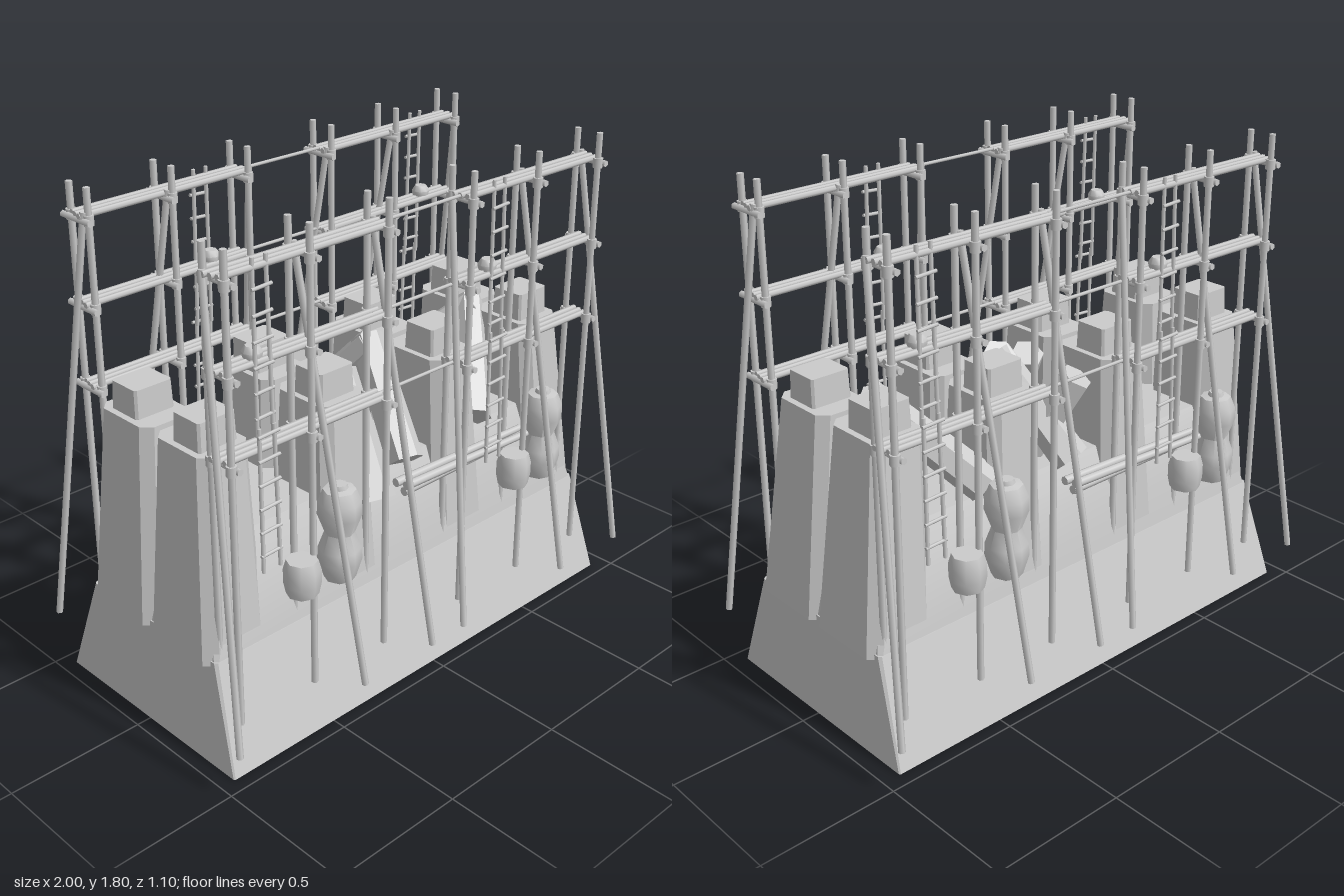
import * as THREE from 'three';
import { toCreasedNormals } from 'three/addons/utils/BufferGeometryUtils.js';

const mat = new THREE.MeshStandardMaterial({ color: 0xcccccc });

function add(parent, name, geo, x = 0, y = 0, z = 0) {
  const m = new THREE.Mesh(geo, mat);
  m.name = name;
  m.position.set(x, y, z);
  parent.add(m);
  return m;
}

// Straight pole or prism between two points
function pole(parent, name, a, b, r, sides = 6, r2 = r) {
  const p = new THREE.Vector3(...a), q = new THREE.Vector3(...b);
  const d = q.clone().sub(p);
  const geo = new THREE.CylinderGeometry(r2, r, d.length(), sides);
  const m = add(parent, name, geo);
  m.position.copy(p).add(q).multiplyScalar(0.5);
  m.quaternion.setFromUnitVectors(new THREE.Vector3(0, 1, 0), d.normalize());
  return m;
}

// Stack of chamfered rectangles: each level is [y, centreX, centreZ, halfX, halfZ, chamfer]
function loft(levels) {
  const pos = [], idx = [];
  for (const [y, cx, cz, hx, hz, c] of levels) {
    const ring = [[hx, hz - c], [hx - c, hz], [c - hx, hz], [-hx, hz - c],
      [-hx, c - hz], [c - hx, -hz], [hx - c, -hz], [hx, c - hz]];
    for (const [x, z] of ring) pos.push(cx + x, y, cz + z);
  }
  const n = 8, top = (levels.length - 1) * n;
  for (let k = 0; k < levels.length - 1; k++) {
    for (let i = 0; i < n; i++) {
      const a = k * n + i, b = k * n + (i + 1) % n;
      idx.push(a, a + n, b, b, a + n, b + n);
    }
  }
  for (let i = 1; i < n - 1; i++) {
    idx.push(0, i, i + 1, top, top + i + 1, top + i);
  }
  const g = new THREE.BufferGeometry();
  g.setAttribute('position', new THREE.Float32BufferAttribute(pos, 3));
  g.setIndex(idx);
  return toCreasedNormals(g, 0.7);
}

function lathe(points, sides = 8) {
  return toCreasedNormals(new THREE.LatheGeometry(points.map(p => new THREE.Vector2(...p)), sides), 0.9);
}

function rockBody(root) {
  add(root, 'rockBase', loft([
    [0, -0.005, 0, 0.94, 0.45, 0.005],
    [0.38, 0, 0, 0.91, 0.335, 0.01],
  ]));
  add(root, 'rockWall', loft([
    [0.36, 0, 0, 0.91, 0.335, 0.01],
    [0.6, 0, 0, 0.86, 0.3, 0.04],
    [0.75, 0, 0, 0.8, 0.24, 0.08],
  ]));
  // Paired towers with square caps: [bottom centre x, top centre x]
  for (const [xb, xt] of [[-0.8, -0.775], [-0.27, -0.265], [0.28, 0.265], [0.8, 0.74]]) {
    for (const s of [-1, 1]) {
      add(root, 'tower', loft([
        [0.36, xb, s * 0.16, 0.13, 0.17, 0.04],
        [1.08, xt, s * 0.145, 0.1, 0.13, 0.035],
      ]));
      add(root, 'towerCap', loft([
        [1.05, xt, s * 0.16, 0.078, 0.07, 0.008],
        [1.18, xt, s * 0.16, 0.074, 0.065, 0.008],
      ]));
    }
  }
  // Leaning stone slabs between the towers
  const slabs = [
    [[0.39, 0.79, 0.26], [0.65, 1.1, -0.02]],
    [[0.39, 0.79, -0.26], [0.65, 1.1, 0.02]],
    [[0.02, 0.75, 0.27], [0.11, 1.11, -0.02]],
    [[0.0, 0.76, -0.27], [0.1, 1.1, 0.02]],
    [[-0.14, 0.65, 0.27], [-0.07, 1.05, 0.03]],
    [[0.06, 0.75, -0.08], [-0.05, 1.05, -0.24]],
  ];
  slabs.forEach(([a, b], i) => {
    const m = pole(root, 'leaningSlab', a, b, i > 3 ? 0.085 : 0.068, 6, 0.06);
    m.geometry = toCreasedNormals(m.geometry, 0.6);
  });
}

function ladder(parent, x) {
  const g = new THREE.Group();
  g.name = 'ladder';
  for (const [y0, y1, z, w] of [[0.7, 1.2, 0.415, 0.035], [1.17, 1.74, 0.4, 0.031]]) {
    for (const s of [-1, 1]) pole(g, 'ladderRail', [x + s * w, y0, z], [x + s * w * 0.85, y1, z - 0.01], 0.007);
    for (let y = y0 + 0.06; y < y1 - 0.02; y += 0.083) {
      pole(g, 'rung', [x - w - 0.008, y, z], [x + w + 0.008, y + 0.004, z], 0.006);
    }
  }
  parent.add(g);
}

// One bay of three frames; x0 is the first post
function scaffoldBay(parent, x0) {
  const levels = [1.12, 1.41, 1.71];
  const posts = [0, 0.325, 0.655].map(d => x0 + d);
  posts.forEach((x, i) => {
    for (const z of [0.315, 0.41]) pole(parent, 'post', [x, 0.17, z], [x, 1.8, z], 0.012);
    const out = i === 0 ? -0.115 : 0.112;
    pole(parent, 'brace', [x + out, 0.17, 0.54], [x + out * 0.1, 1.72, 0.325], 0.012);
    for (const y of levels) {
      pole(parent, 'crossBar', [x + 0.015, y - 0.02, 0.285], [x + 0.015, y - 0.02, 0.435], 0.012);
      // Rope bindings at the joints
      for (const z of [0.315, 0.41]) pole(parent, 'binding', [x, y - 0.035, z], [x, y, z], 0.018, 8);
    }
  });
  for (const y of levels) {
    [0.335, 0.362, 0.388].forEach((z, i) => {
      pole(parent, 'platformPole', [x0 - 0.02 + i * 0.006, y, z], [x0 + 0.68 - i * 0.006, y - 0.005, z], 0.011);
    });
  }
}

// One complete scaffold side with everything hung on it
function scaffoldSide() {
  const g = new THREE.Group();
  g.name = 'scaffoldSide';
  for (const x0 of [-0.875, 0.17]) scaffoldBay(g, x0);
  for (const y of [1.12, 1.41, 1.71]) pole(g, 'linkPole', [-0.24, y, 0.362], [0.2, y, 0.362], 0.006);
  for (const x of [-0.73, 0.32]) ladder(g, x);

  // Stacked jars, small pots and bowls, repeated on each bay
  const jar = lathe([[0, 0], [0.055, 0], [0.076, 0.07], [0.074, 0.115], [0.052, 0.175],
    [0.076, 0.24], [0.074, 0.29], [0.056, 0.335], [0.03, 0.34], [0.026, 0.355], [0, 0.355]]);
  const pot = lathe([[0, 0], [0.055, 0], [0.063, 0.04], [0.063, 0.09], [0.053, 0.125], [0, 0.125]]);
  const bowl = lathe([[0, 0], [0.03, 0], [0.034, 0.02], [0.022, 0.04], [0, 0.04]]);
  for (const [jx, px, bx] of [[-0.39, -0.6, -0.74], [0.655, 0.45, 0.31]]) {
    add(g, 'stackedJar', jar, jx, 0.5, 0.365);
    add(g, 'smallPot', pot, px, 0.55, 0.41);
    add(g, 'bowl', bowl, bx, 1.415, 0.36);
  }

  // Bundle of logs resting along the rock face
  const logs = [[-0.1, 0.735, 0.56, 0.715, 0.34], [-0.08, 0.7, 0.57, 0.7, 0.36], [-0.09, 0.735, 0.55, 0.71, 0.38]];
  for (const [xa, ya, xb, yb, z] of logs) pole(g, 'log', [xa, ya, z], [xb, yb, z], 0.016, 8, 0.013);
  return g;
}

export function createModel() {
  const root = new THREE.Group();
  root.name = 'scaffoldedRock';
  rockBody(root);
  const front = scaffoldSide();
  const back = scaffoldSide();
  back.rotation.y = Math.PI;
  root.add(front, back);
  return root;
}
